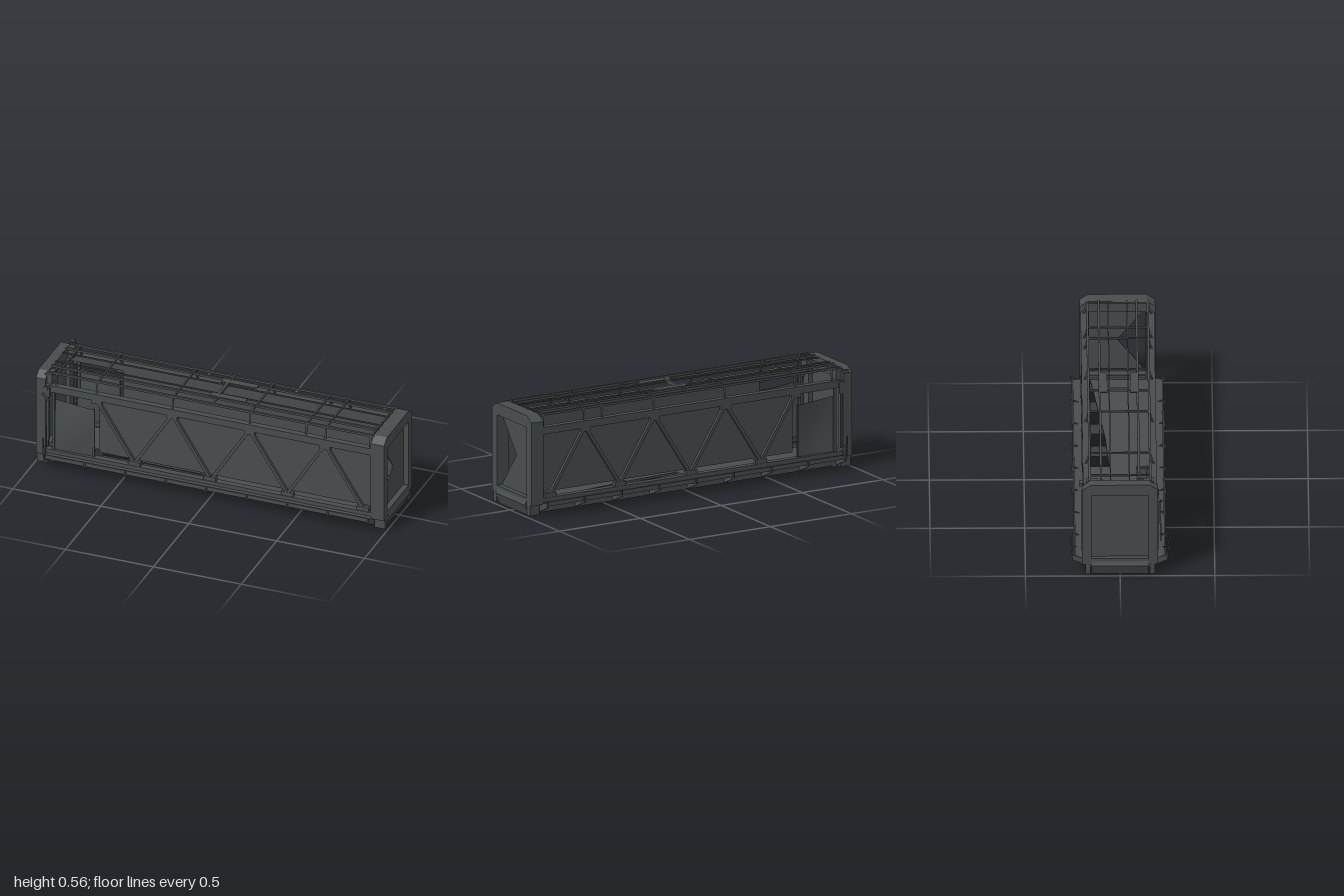
import * as THREE from 'three';

const steel = new THREE.MeshStandardMaterial({ color: 0x484d4d, side: THREE.DoubleSide });
steel.name = 'dark steel';

export function createModel() {
  const model = new THREE.Group();
  model.name = 'enclosedTrussWalkway';

  const add = (name, geo) => {
    const m = new THREE.Mesh(geo, steel);
    m.name = name;
    model.add(m);
    return m;
  };
  // Box given by its min and max corners
  const box = (name, x0, x1, y0, y1, z0, z1) => {
    const m = add(name, new THREE.BoxGeometry(x1 - x0, y1 - y0, z1 - z0));
    m.position.set((x0 + x1) / 2, (y0 + y1) / 2, (z0 + z1) / 2);
    return m;
  };
  // Square bar between two points
  const bar = (name, a, b, w) => {
    const p = new THREE.Vector3(...a), q = new THREE.Vector3(...b);
    const m = add(name, new THREE.BoxGeometry(w, w, p.distanceTo(q)));
    m.position.copy(p).add(q).multiplyScalar(0.5);
    m.lookAt(q);
    return m;
  };
  const shapeOf = (pts) => new THREE.Shape(pts.map(([a, b]) => new THREE.Vector2(a, b)));
  // Plate drawn in (z, y), with its thickness along x
  const crossPlate = (name, pts, x, depth, hole) => {
    const flip = (list) => list.map(([z, y]) => [-z, y]);
    const s = shapeOf(flip(pts));
    if (hole) s.holes.push(shapeOf(flip(hole)));
    const m = add(name, new THREE.ExtrudeGeometry(s, { depth, bevelEnabled: false }));
    m.rotation.y = Math.PI / 2;
    m.position.x = x;
    return m;
  };

  // End portals with chamfered top corners
  const outer = [[-0.2, 0.07], [0.2, 0.07], [0.2, 0.525], [0.155, 0.555], [-0.155, 0.555], [-0.2, 0.525]];
  const opening = [[-0.15, 0.105], [0.15, 0.105], [0.15, 0.49], [-0.15, 0.49]];
  crossPlate('rightPortal', outer, 0.915, 0.075, opening);
  crossPlate('leftPortal', outer, -0.99, 0.055, opening);
  // End closing panels, one with a torn triangular opening
  crossPlate('rightEndPanel', [[-0.15, 0.105], [0.15, 0.105], [0, 0.3], [0.15, 0.49], [-0.15, 0.49]], 0.955, 0.005);
  crossPlate('leftEndPanel', opening, -0.965, 0.005);

  for (const e of [-1, 1]) {
    // Sloping sill under each portal
    const sill = [[0.9, 0.005], [0.975, 0.005], [1.0, 0.065], [0.985, 0.1], [0.9, 0.1]].map(([x, y]) => [x * e, y]);
    add('endSill', new THREE.ExtrudeGeometry(shapeOf(sill), { depth: 0.3, bevelEnabled: false })).position.z = -0.15;
    for (const s of [-1, 1]) {
      const z = s * 0.17;
      box('portalFoot', e * 0.96 - 0.03, e * 0.96 + 0.03, 0.012, 0.08, z - 0.013, z + 0.013);
    }
  }

  // Floor with long cut-outs along both sides
  const floor = shapeOf([
    [-0.91, -0.15], [0, -0.15], [0, -0.05], [0.3, -0.07], [0.91, -0.145],
    [0.91, 0.19], [0, 0.19], [0, 0.095], [-0.4, 0.095], [-0.91, 0.04],
  ]);
  const deck = add('floor', new THREE.ExtrudeGeometry(floor, { depth: 0.012, bevelEnabled: false }));
  deck.rotation.x = Math.PI / 2;
  deck.position.y = 0.085;

  // Cross beams that taper outwards to carry the side ledges
  for (let i = 0; i < 9; i++) {
    const x = -0.925 + i * 0.2305;
    crossPlate('floorBeam', [[-0.15, 0.015], [0.15, 0.015], [0.25, 0.062], [0.25, 0.09],
      [0.2, 0.075], [-0.2, 0.075], [-0.25, 0.09], [-0.25, 0.062]], x - 0.004, 0.008);
  }

  const tops = [-0.65, -0.22, 0.22, 0.65];
  for (const s of [-1, 1]) {
    const sideBox = (name, x0, x1, y0, y1, z0, z1) =>
      box(name, x0, x1, y0, y1, Math.min(s * z0, s * z1), Math.max(s * z0, s * z1));
    // Side wall, chords and lower beam
    sideBox('sideWall', -0.64, 0.915, 0.13, 0.455, 0.165, 0.172);
    sideBox('topChord', -0.94, 0.915, 0.45, 0.49, 0.16, 0.195);
    sideBox('bottomChord', -0.94, 0.915, 0.08, 0.102, 0.16, 0.195);
    sideBox('lowerBeam', -0.91, 0.91, 0.015, 0.08, 0.145, 0.153);
    sideBox('sideLedge', -0.93, 0.92, 0.07, 0.077, 0.19, 0.24);
    sideBox('ledgeEdge', -0.93, 0.92, 0.068, 0.092, 0.234, 0.242);

    // Zigzag truss and its gussets
    tops.forEach((x, i) => {
      const z = s * 0.182;
      if (i) bar('trussDiagonal', [x - 0.215, 0.115, z], [x, 0.455, z], 0.017);
      bar('trussDiagonal', [x, 0.455, z], [x + 0.215, 0.115, z], 0.017);
      sideBox('lowerGusset', x + 0.18, x + 0.25, 0.1, 0.125, 0.168, 0.192);
      sideBox('upperGusset', x - 0.03, x + 0.03, 0.43, 0.455, 0.172, 0.192);
    });

    // Side door at the left end, slightly bowed, with an uneven top
    const door = new THREE.PlaneGeometry(0.24, 0.3, 4, 4);
    const p = door.attributes.position;
    for (let i = 0; i < p.count; i++) {
      const x = p.getX(i), y = p.getY(i);
      p.setZ(i, 0.018 * Math.cos(x * 13) * Math.cos(y * 10));
      if (y > 0.14) p.setY(i, y - x * 0.1);
    }
    door.computeVertexNormals();
    add('sideDoor', door).position.set(-0.785, 0.245, s * 0.178);
    bar('doorPost', [-0.895, 0.1, s * 0.18], [-0.895, 0.46, s * 0.18], 0.014);
    bar('doorPost', [-0.668, 0.1, s * 0.18], [-0.668, 0.39, s * 0.18], 0.01);

    // Roof rails and window posts
    for (const [z, y, w] of [[0.16, 0.55, 0.012], [0.1, 0.556, 0.012], [0.05, 0.556, 0.007]])
      bar('roofRail', [-0.94, y, s * z], [0.92, y, s * z], w);
    for (const x of [-0.88, -0.65, -0.22, 0.22, 0.54, 0.65, 0.905])
      bar('windowPost', [x, 0.48, s * 0.18], [x - 0.006, 0.552, s * 0.16], 0.009);

    // Upright stanchion and service pipes at the left end
    bar('stanchion', [-0.925, 0.075, s * 0.25], [-0.925, 0.2, s * 0.26], 0.007);
    bar('stanchionTie', [-0.925, 0.14, s * 0.225], [-0.925, 0.14, s * 0.255], 0.003);
    bar('servicePipe', [-0.925, 0.12, s * 0.198], [-0.925, 0.49, s * 0.2], 0.009);
    sideBox('pipeClamp', -0.945, -0.91, 0.42, 0.48, 0.19, 0.204);
    sideBox('cornerBlock', -0.945, -0.905, 0.49, 0.55, 0.12, 0.18);
  }

  // Roof cross ribs and centre strips
  for (const x of [-0.88, -0.65, -0.22, 0, 0.22, 0.54, 0.65, 0.905])
    bar('roofRib', [x, 0.552, -0.16], [x, 0.552, 0.16], 0.009);
  box('roofStrip', -0.04, 0.16, 0.558, 0.565, -0.1, -0.06);
  box('roofStrip', -0.04, 0.16, 0.558, 0.565, 0.06, 0.1);
  box('roofHatchBar', -0.01, 0.005, 0.556, 0.566, -0.1, 0.1);

  // Long pipe beside the front door and lamp on the rear corner
  bar('doorPipe', [-0.91, 0.17, 0.215], [-0.91, 0.41, 0.212], 0.008);
  bar('doorPipeHook', [-0.91, 0.41, 0.218], [-0.95, 0.44, 0.205], 0.01);
  bar('lampArm', [-0.945, 0.53, -0.18], [-0.945, 0.54, -0.21], 0.007);
  box('cornerLamp', -0.96, -0.93, 0.53, 0.548, -0.217, -0.199);

  return model;
}
